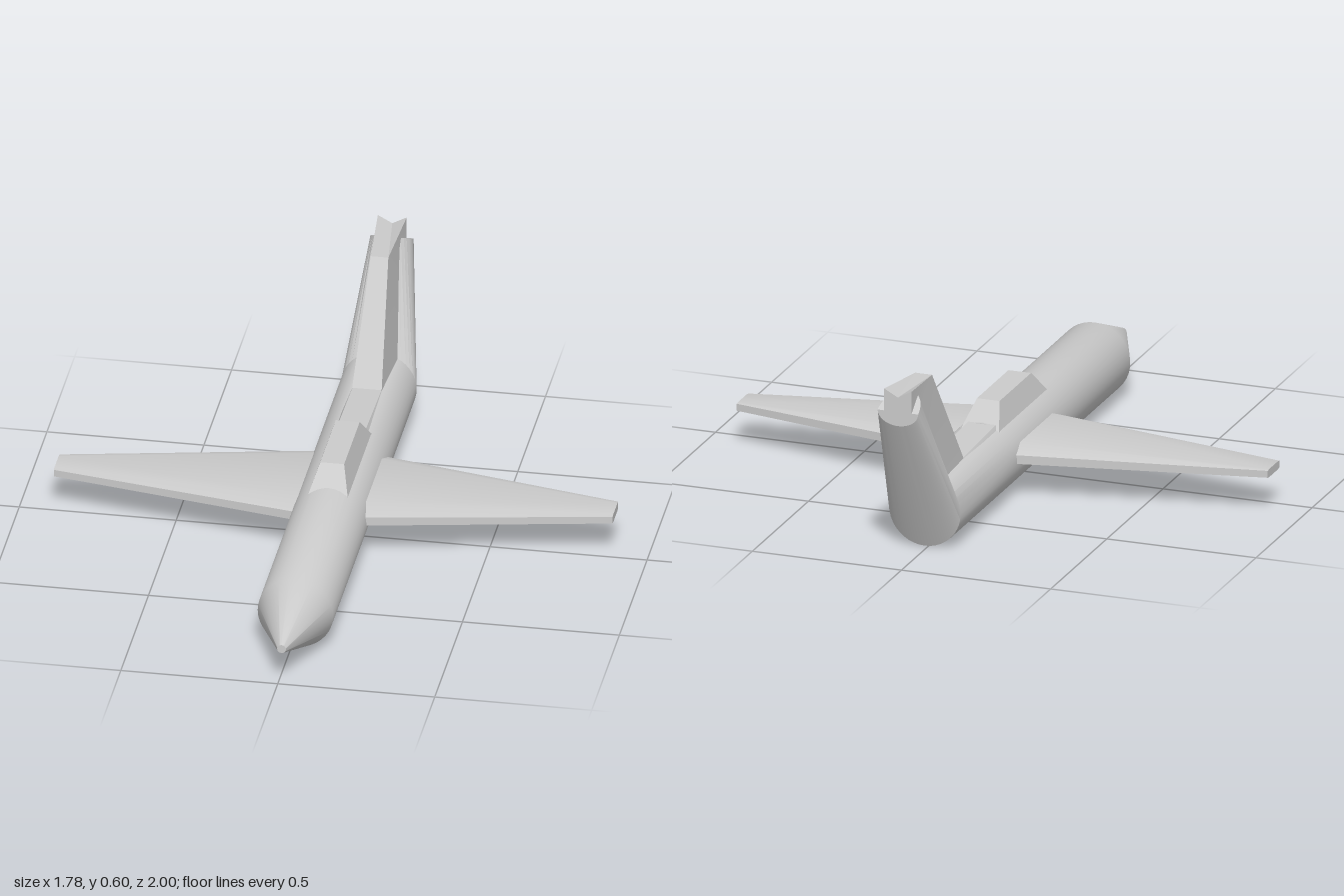
import * as THREE from 'three';
import { toCreasedNormals } from 'three/addons/utils/BufferGeometryUtils.js';

const CX = 0.012; // centre line of the body

const material = new THREE.MeshStandardMaterial({ color: 0xcccccc });

// Closed solid from points and triangles, turned so its faces look outwards
function solid(name, points, tris) {
  let volume = 0;
  const [a, b, c] = [new THREE.Vector3(), new THREE.Vector3(), new THREE.Vector3()];
  for (const [i, j, k] of tris) {
    a.set(...points[i]); b.set(...points[j]); c.set(...points[k]);
    volume += a.dot(b.cross(c));
  }
  const index = tris.flatMap(([i, j, k]) => (volume < 0 ? [i, k, j] : [i, j, k]));
  const geometry = new THREE.BufferGeometry();
  geometry.setAttribute('position', new THREE.Float32BufferAttribute(points.flat(), 3));
  geometry.setIndex(index);
  const mesh = new THREE.Mesh(toCreasedNormals(geometry, Math.PI / 7), material);
  mesh.name = name;
  return mesh;
}

// Skin over a row of equal-length rings, closed at both ends
function loft(name, rings) {
  const n = rings[0].length;
  const points = rings.flat();
  const tris = [];
  for (let r = 0; r < rings.length - 1; r++) {
    for (let i = 0; i < n; i++) {
      const j = (i + 1) % n, p = r * n, q = p + n;
      tris.push([p + i, p + j, q + j], [p + i, q + j, q + i]);
    }
  }
  const last = (rings.length - 1) * n;
  for (let i = 1; i < n - 1; i++) {
    tris.push([0, i + 1, i], [last, last + i, last + i + 1]);
  }
  return solid(name, points, tris);
}

// Ring around the body; top limits its height, lean pushes the upper half forward
function ring(z, y, rx, ry = rx, top = 9, lean = 0) {
  return Array.from({ length: 40 }, (_, i) => {
    const t = (i / 40) * Math.PI * 2;
    const s = Math.sin(t);
    return [CX + rx * Math.cos(t), Math.min(y + ry * s, top), z + lean * Math.max(0, s)];
  });
}

// Rectangular ring lying flat
const plate = (y, half, front, back) => [
  [CX - half, y, front], [CX + half, y, front], [CX + half, y, back], [CX - half, y, back],
];

// Six-sided wing section with chamfered leading and trailing edges
function wingSection(x, front, back, chamfer, low, high, edgeLow, edgeHigh) {
  return [
    [x, edgeLow, front], [x, edgeHigh, front], [x, high, front - chamfer],
    [x, high, back + chamfer], [x, edgeHigh, back], [x, edgeLow, back],
    [x, low, back + chamfer], [x, low, front - chamfer],
  ];
}

export function createModel() {
  const model = new THREE.Group();
  model.name = 'aircraft';

  // Body: pointed nose, round barrel, flattened rear deck, upswept tail column
  model.add(loft('fuselage', [
    ring(1, 0.127, 0.014),
    ring(0.75, 0.122, 0.12),
    ring(-0.257, 0.122, 0.12),
    ring(-0.26, 0.122, 0.12, 0.12, 0.226),
    ring(-0.76, 0.122, 0.12, 0.12, 0.226),
    ring(-1, 0.527, 0.068, 0.047, 9, 0.09),
  ]));

  // Wings
  for (const side of [1, -1]) {
    model.add(loft(side > 0 ? 'leftWing' : 'rightWing', [
      wingSection(CX + side * 0.1, 0.15, -0.26, 0.06, 0.1, 0.174, 0.121, 0.15),
      wingSection(side * 0.89, 0, -0.103, 0.015, 0.12, 0.147, 0.122, 0.145),
    ]));
  }

  // Canopy and the low deck strip behind it
  model.add(loft('canopy', [plate(0.22, 0.064, 0.165, -0.27), plate(0.3, 0.038, 0.085, -0.195)]));
  model.add(loft('deckStrip', [
    [[CX - 0.06, 0.21, -0.25], [CX + 0.06, 0.21, -0.25], [CX + 0.046, 0.24, -0.25], [CX - 0.046, 0.24, -0.25]],
    [[CX - 0.06, 0.21, -0.55], [CX + 0.06, 0.21, -0.55], [CX + 0.046, 0.228, -0.55], [CX - 0.046, 0.228, -0.55]],
  ]));

  // Tail fin: swept slab that widens rearwards, with a V groove along its top
  const pair = (half, y, z) => [[CX - half, y, z], [CX + half, y, z]];
  const fin = [
    ...pair(0.048, 0.21, -0.53), // 0, 1 front foot
    ...pair(0.028, 0.578, -0.77), // 2, 3 front top
    ...pair(0.046, 0.6, -1), // 4, 5 rear ridges
    ...pair(0.046, 0.51, -1), // 6, 7 rear, below the ridges
    ...pair(0.064, 0.19, -0.8), // 8, 9 rear foot
    [CX, 0.575, -1], // 10 groove end
  ];
  model.add(solid('tailFin', fin, [
    [0, 1, 3], [0, 3, 2], // front
    [2, 3, 10], [2, 10, 4], [3, 5, 10], // top
    [1, 9, 3], [9, 7, 3], [7, 5, 3], // left side
    [0, 2, 8], [8, 2, 6], [6, 2, 4], // right side
    [4, 10, 6], [10, 7, 6], [10, 5, 7], [6, 7, 9], [6, 9, 8], // rear
    [0, 8, 9], [0, 9, 1], // foot
  ]));

  return model;
}
